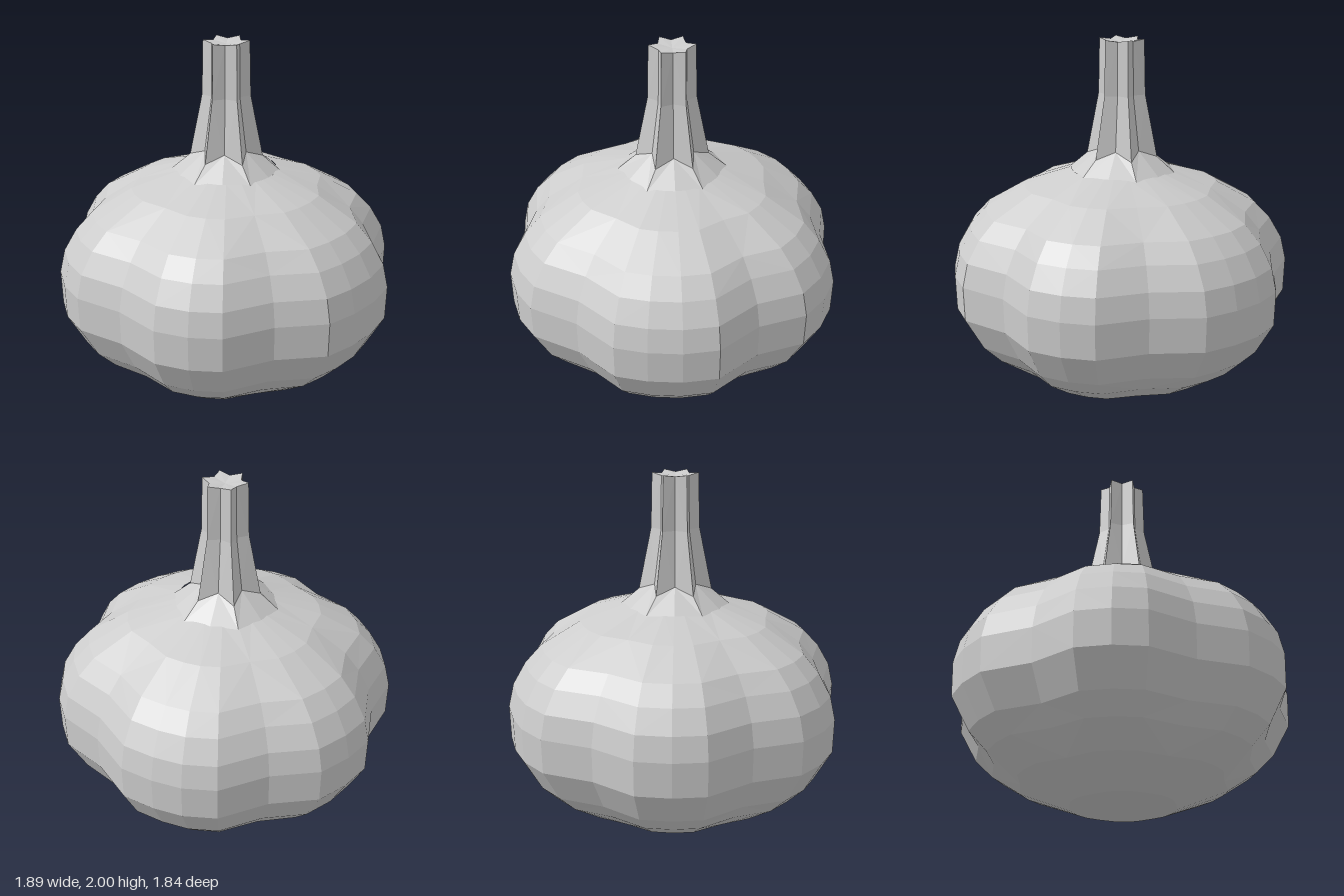
import * as THREE from 'three';

// Lobed outline of the bulb at its widest, counterclockwise from above: x, z
const OUTLINE = [
  [0.94, 0], [0.92, -0.19], [0.74, -0.41], [0.66, -0.67], [0.52, -0.79], [0.36, -0.87],
  [0.08, -0.86], [-0.2, -0.92], [-0.38, -0.87], [-0.53, -0.8], [-0.67, -0.68], [-0.77, -0.41],
  [-0.93, -0.19], [-0.95, 0], [-0.93, 0.18], [-0.76, 0.41], [-0.67, 0.67], [-0.53, 0.79],
  [-0.37, 0.865], [-0.09, 0.855], [0.18, 0.915], [0.36, 0.87], [0.51, 0.785], [0.66, 0.54],
  [0.87, 0.35], [0.92, 0.18],
];
const WIDEST = 0.945;

// Bulb profile, bottom to top: y, radius, lobe strength
const PROFILE = [
  [0, 0, 0], [0.035, 0.29, 0.3], [0.15, 0.575, 0.7], [0.26, 0.74, 0.9], [0.36, 0.84, 1],
  [0.54, 0.94, 1], [0.73, 0.945, 1], [0.86, 0.915, 1], [0.98, 0.845, 1], [1.075, 0.755, 0.95],
  [1.2, 0.535, 0.7], [1.285, 0.27, 0],
];

// Stem profile: y and radius of the six ridges, then of the grooves between
const STEM = [
  [1.275, 0.3, 1.28, 0.28], [1.36, 0.2, 1.4, 0.13], [1.7, 0.132, 1.7, 0.088],
  [2, 0.125, 1.99, 0.085], [1.98, 0, 1.98, 0],
];

// Joins closed rings of equal length into a faceted skin
function loft(rings) {
  const points = [];
  const triangle = (a, b, c) => {
    if (new THREE.Triangle(a, b, c).getArea() > 1e-7) points.push(a, b, c);
  };
  for (let j = 0; j < rings.length - 1; j++) {
    const low = rings[j], high = rings[j + 1], n = low.length;
    for (let i = 0; i < n; i++) {
      const k = (i + 1) % n;
      // alternate the diagonals for an irregular, faceted surface
      if ((i + j) % 2) {
        triangle(low[i], low[k], high[k]);
        triangle(low[i], high[k], high[i]);
      } else {
        triangle(low[i], low[k], high[i]);
        triangle(low[k], high[k], high[i]);
      }
    }
  }
  const geometry = new THREE.BufferGeometry().setFromPoints(points);
  geometry.computeVertexNormals();
  return geometry;
}

function bulbRing([y, radius, lobes]) {
  return OUTLINE.map(([x, z]) => {
    const reach = Math.hypot(x, z);
    const r = radius * (1 + lobes * (reach / WIDEST - 1));
    return new THREE.Vector3((x / reach) * r, y, (z / reach) * r);
  });
}

function stemRing([ridgeY, ridgeR, grooveY, grooveR]) {
  return Array.from({ length: 12 }, (_, i) => {
    const angle = (i * Math.PI) / 6;
    const ridge = i % 2 === 1;
    const r = ridge ? ridgeR : grooveR;
    return new THREE.Vector3(r * Math.cos(angle) - 0.008, ridge ? ridgeY : grooveY, -r * Math.sin(angle));
  });
}

export function createModel() {
  const group = new THREE.Group();
  group.name = 'pumpkin';
  const material = new THREE.MeshStandardMaterial({ color: 0xcccccc, flatShading: true });
  material.name = 'pale grey';

  const bulb = new THREE.Mesh(loft(PROFILE.map(bulbRing)), material);
  bulb.name = 'bulb';
  const stem = new THREE.Mesh(loft(STEM.map(stemRing)), material);
  stem.name = 'stem';
  group.add(bulb, stem);
  return group;
}
